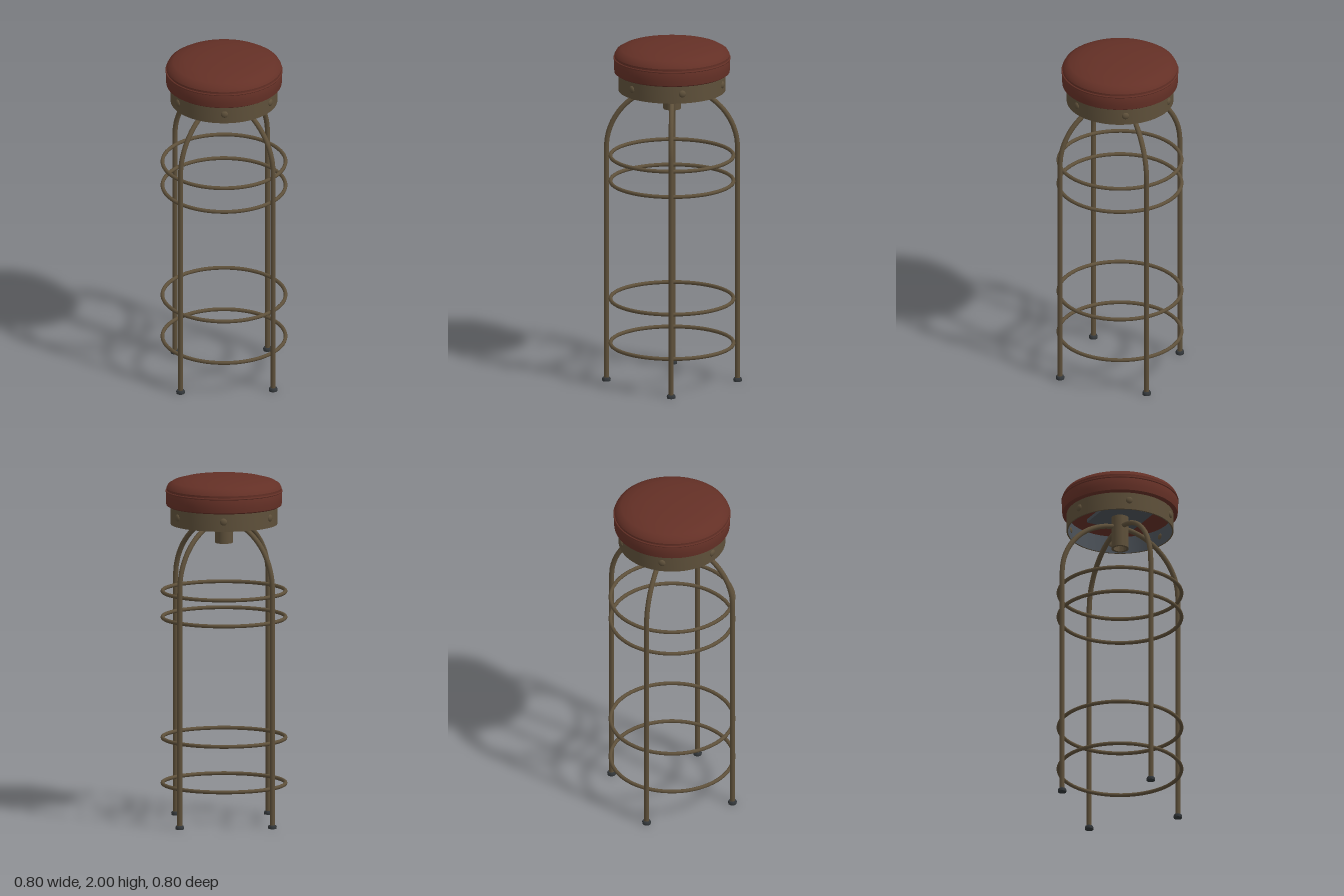
import * as THREE from 'three';
import { toCreasedNormals } from 'three/addons/utils/BufferGeometryUtils.js';

const flat = (name, color) => {
  const m = new THREE.MeshStandardMaterial({ color });
  m.name = name;
  return m;
};

export function createModel() {
  const leather = flat('oxblood leather', 0x643026);
  const metal = flat('aged bronze metal', 0x5e503a);
  const rubber = flat('dark rubber', 0x33373a);
  const steel = flat('grey steel', 0x4c5259);

  const stool = new THREE.Group();
  stool.name = 'barStool';
  const add = (name, geometry, material, x = 0, y = 0, z = 0, parent = stool) => {
    const mesh = new THREE.Mesh(geometry, material);
    mesh.name = name;
    mesh.position.set(x, y, z);
    parent.add(mesh);
    return mesh;
  };
  // Profiles run upward on the outside, as [radius, height]
  const turned = (points, segments = 64) => toCreasedNormals(
    new THREE.LatheGeometry(points.map(([r, y]) => new THREE.Vector2(r, y)), segments), 0.6);

  // Cushion: straight side, piped seam and domed top
  add('cushion', turned([
    [0, 1.825], [0.318, 1.825], [0.329, 1.832], [0.332, 1.86], [0.331, 1.905],
    [0.327, 1.915], [0.329, 1.93], [0.318, 1.95], [0.29, 1.967], [0.23, 1.983],
    [0.15, 1.994], [0.07, 1.999], [0, 2],
  ]), leather);
  const piping = add('seamPiping', new THREE.TorusGeometry(0.33, 0.005, 8, 64), leather, 0, 1.912, 0);
  piping.rotation.x = Math.PI / 2;

  // Hollow metal band below the cushion, with a grey lining
  add('seatBand', turned([
    [0.297, 1.722], [0.305, 1.722], [0.305, 1.826], [0.297, 1.826],
  ]), metal);
  add('bandLining', turned([[0.297, 1.826], [0.297, 1.722]]), steel);
  for (let i = 0; i < 6; i++) {
    const a = THREE.MathUtils.degToRad(12 + 60 * i);
    const rivet = add('rivet', new THREE.SphereGeometry(0.021, 16, 10), metal,
      0.303 * Math.sin(a), 1.778, 0.303 * Math.cos(a));
    rivet.scale.z = 0.55;
    rivet.rotation.y = a;
  }

  // Mounting plate and open-ended hub under the seat
  add('mountingPlate', new THREE.BoxGeometry(0.28, 0.02, 0.28), steel, 0, 1.814, 0);
  add('hub', turned([
    [0.036, 1.806], [0.036, 1.612], [0.05, 1.612], [0.05, 1.806],
  ], 32), metal);

  // Four straight legs that arch inward to the hub
  const legPath = new THREE.CurvePath();
  legPath.add(new THREE.LineCurve3(new THREE.Vector3(0.374, 0.01, 0), new THREE.Vector3(0.374, 1.38, 0)));
  const arch = [];
  for (let i = 0; i <= 10; i++) {
    const t = (i / 10) * 1.45;
    arch.push(new THREE.Vector3(0.374 * Math.cos(t), 1.38 + 0.365 * Math.sin(t), 0));
  }
  legPath.add(new THREE.CatmullRomCurve3(arch));
  const legGeometry = new THREE.TubeGeometry(legPath, 72, 0.0145, 14);
  const footGeometry = turned([[0, 0], [0.024, 0], [0.025, 0.012], [0.021, 0.02], [0, 0.022]], 20);
  for (let i = 0; i < 4; i++) {
    const leg = new THREE.Group();
    leg.name = 'leg';
    leg.rotation.y = i * Math.PI / 2;
    add('legTube', legGeometry, metal, 0, 0, 0, leg);
    add('footCap', footGeometry, rubber, 0.374, 0, 0, leg);
    stool.add(leg);
  }

  // Hoops that brace the legs
  for (const y of [0.225, 0.488, 1.183, 1.333]) {
    const hoop = add('braceRing', new THREE.TorusGeometry(0.351, 0.011, 10, 72), metal, 0, y, 0);
    hoop.rotation.x = Math.PI / 2;
  }
  return stool;
}
